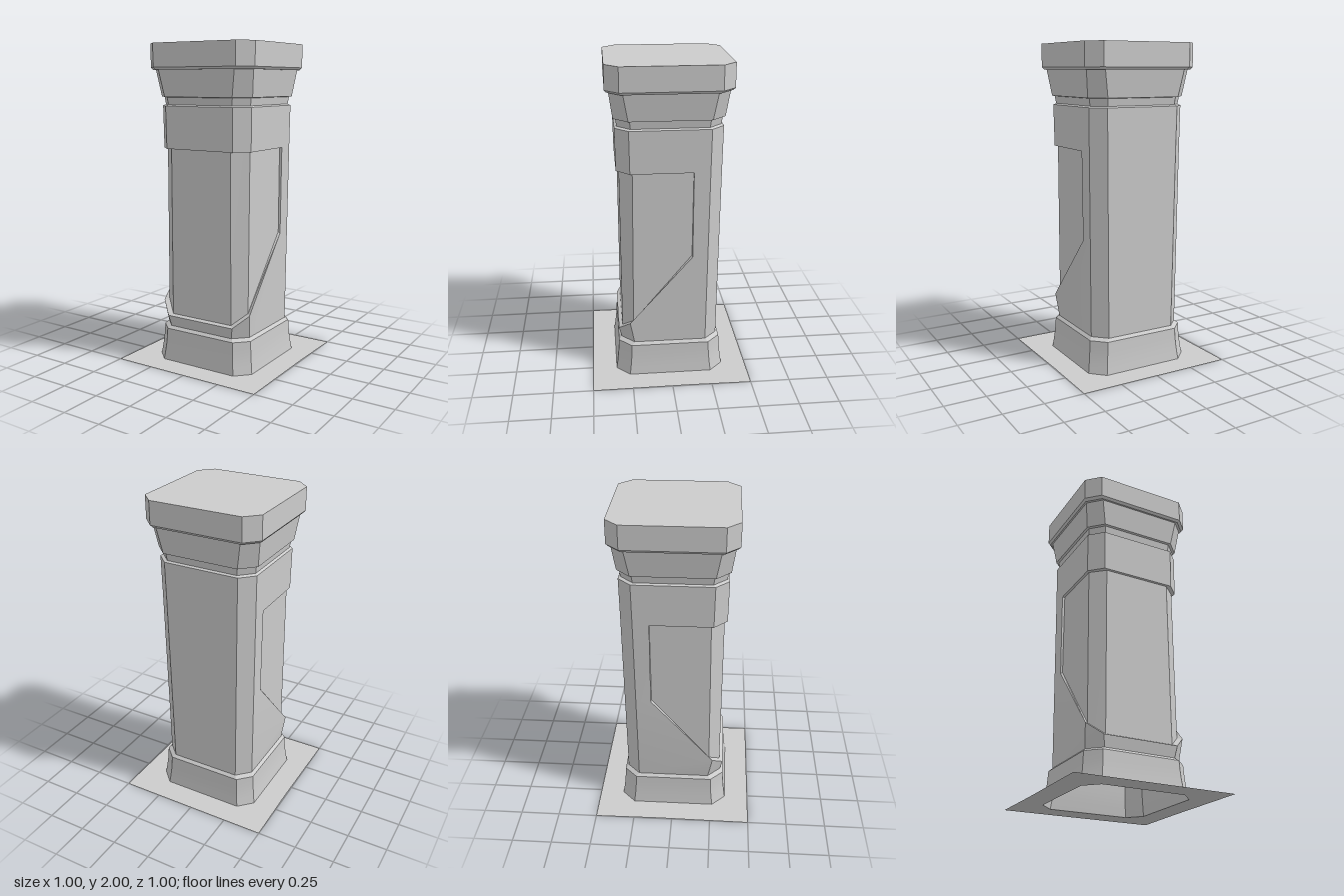
import * as THREE from 'three';
import { toCreasedNormals } from 'three/addons/utils/BufferGeometryUtils.js';

const material = new THREE.MeshStandardMaterial({ color: 0xcccccc, side: THREE.DoubleSide });

// Mesh from a list of polygons, each fanned into triangles
function polyMesh(name, polys) {
  const pos = [];
  for (const p of polys)
    for (let i = 1; i < p.length - 1; i++) pos.push(...p[0], ...p[i], ...p[i + 1]);
  const geo = new THREE.BufferGeometry();
  geo.setAttribute('position', new THREE.Float32BufferAttribute(pos, 3));
  const mesh = new THREE.Mesh(toCreasedNormals(geo, 0.2), material);
  mesh.name = name;
  return mesh;
}

// Chamfered square: half width h, half length of the flat sides f
const octagon = (y, h, f) => [[-f, h], [f, h], [h, f], [h, -f], [f, -h], [-f, -h], [-h, -f], [-h, f]]
  .map(([x, z]) => [x, y, z]);

// Skin a stack of [y, h, f] octagons
function stack(name, profile, capped = false) {
  const rings = profile.map((p) => octagon(...p));
  const polys = [];
  for (let k = 0; k < rings.length - 1; k++)
    for (let i = 0; i < 8; i++) {
      const j = (i + 1) % 8;
      polys.push([rings[k][i], rings[k][j], rings[k + 1][j], rings[k + 1][i]]);
    }
  if (capped) polys.push(rings[rings.length - 1]);
  return polyMesh(name, polys);
}

const flip = ([x, y, z]) => [-x, y, z];
const mirrored = (polys) => polys.concat(polys.map((p) => p.map(flip).reverse()));

export function createModel() {
  const group = new THREE.Group();
  group.name = 'pillar';

  // Thin ground plate, open under the pillar
  const plate = new THREE.Shape([[-0.5, -0.5], [0.5, -0.5], [0.495, 0.1], [0.5, 0.5], [-0.5, 0.5], [-0.495, 0.1]]
    .map((p) => new THREE.Vector2(...p)));
  plate.holes.push(new THREE.Path(octagon(0, 0.346, 0.262).map(([x, , z]) => new THREE.Vector2(x, z))));
  const ground = new THREE.Mesh(new THREE.ShapeGeometry(plate).rotateX(-Math.PI / 2), material);
  ground.name = 'groundPlate';
  group.add(ground);

  // Flared foot
  group.add(stack('foot', [
    [0, 0.346, 0.262], [0.05, 0.339, 0.256], [0.1, 0.333, 0.251], [0.15, 0.329, 0.248],
    [0.203, 0.326, 0.246], [0.22, 0.308, 0.228],
  ]));

  // Shaft outer shell: gently widening, cut away at the front
  const h = (y) => 0.308 + (y - 0.22) * 0.0093;
  const f = (y) => h(y) - 0.08;
  const side = (y, z) => [h(y), y, z];
  const lo = 0.22, knee = 0.81, top = 1.36, cut = -0.14;
  const lipSide = [0.323, 0.365, 0.255], lipFront = [0.24, 0.29, 0.324];
  const lowFront = [f(lo), lo, h(lo)], lowSide = side(lo, f(lo));
  const shell = mirrored([
    [lowSide, side(lo, -f(lo)), side(knee, -f(knee)), side(knee, cut), lipSide],
    [side(knee, cut), side(knee, -f(knee)), side(top, -f(top)), side(top, cut)],
    [side(lo, -f(lo)), [f(lo), lo, -h(lo)], [f(top), top, -h(top)], side(top, -f(top))],
    [lowFront, lowSide, lipSide, lipFront],
  ]);
  shell.push(
    [flip(lowFront), lowFront, lipFront, flip(lipFront)],
    [[f(lo), lo, -h(lo)], [-f(lo), lo, -h(lo)], [-f(top), top, -h(top)], [f(top), top, -h(top)]],
  );
  group.add(polyMesh('shaftShell', shell));

  // Recessed front panel
  const rim = [side(top, cut), side(knee, cut), lipSide, lipFront];
  const inner = [[0.302, top, cut], [0.302, knee + 0.008, cut + 0.004], [0.299, 0.372, 0.232], [0.218, 0.3, 0.301]];
  const topSide = [0.302, top, 0.224], topFront = [0.216, top, 0.301];
  const panel = mirrored([
    [inner[2], inner[1], inner[0], topSide],
    [inner[3], inner[2], topSide, topFront],
  ]);
  panel.push([flip(inner[3]), inner[3], topFront, flip(topFront)]);
  group.add(polyMesh('recessedPanel', panel));

  // Ledge around the recess
  const ledge = mirrored([0, 1, 2].map((i) => [inner[i + 1], rim[i + 1], rim[i], inner[i]]));
  ledge.push([flip(inner[3]), flip(rim[3]), rim[3], inner[3]]);
  group.add(polyMesh('recessLedge', ledge));

  // Underside of the collar over the recess
  const collarFront = [f(top), top, h(top)], collarSide = side(top, f(top));
  const under = mirrored([
    [side(top, cut), collarSide, topSide, inner[0]],
    [collarSide, collarFront, topFront, topSide],
  ]);
  under.push([collarFront, flip(collarFront), flip(topFront), topFront]);
  group.add(polyMesh('collarUnderside', under));

  // Collar, neck, flared capital and cap block
  group.add(stack('collar', [[top, h(top), f(top)], [1.622, 0.322, 0.242], [1.63, 0.308, 0.23]]));
  group.add(stack('neck', [[1.63, 0.308, 0.23], [1.675, 0.314, 0.235], [1.678, 0.329, 0.243]]));
  group.add(stack('capital', [[1.678, 0.329, 0.243], [1.84, 0.351, 0.271], [1.84, 0.362, 0.282]]));
  group.add(stack('cap', [[1.84, 0.362, 0.282], [1.855, 0.374, 0.293], [2, 0.374, 0.293]], true));
  return group;
}
